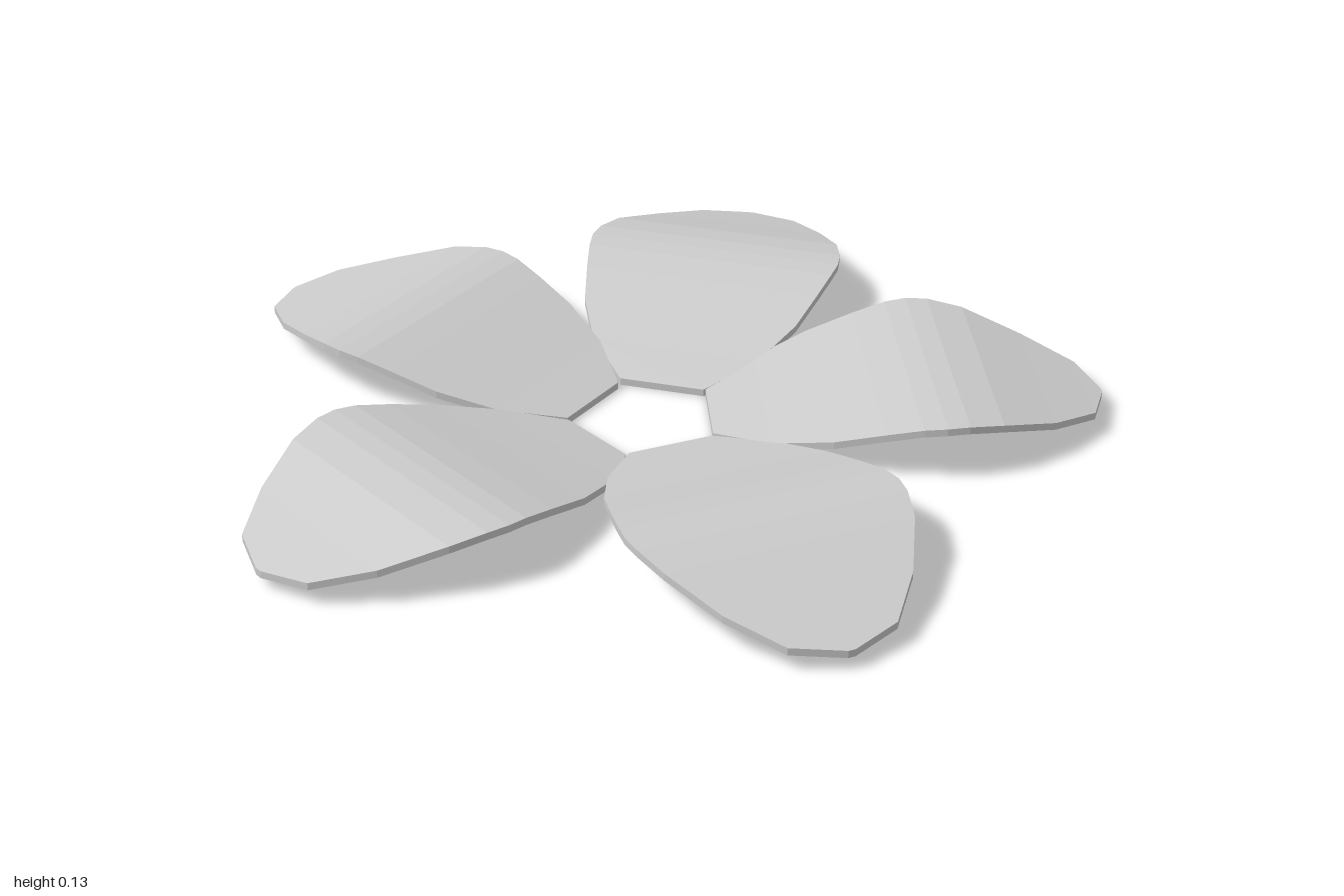
import * as THREE from 'three';

const THICKNESS = 0.017;

// Petal cross-sections: [distance from inner edge, half width, top height]
const SECTIONS = [
  [0, 0.1, 0.018], [0.12, 0.2, 0.046], [0.25, 0.26, 0.08], [0.36, 0.287, 0.11],
  [0.44, 0.304, 0.129], [0.49, 0.31, 0.134], [0.54, 0.304, 0.134], [0.62, 0.28, 0.122],
  [0.75, 0.21, 0.084], [0.86, 0.12, 0.055], [0.9, 0.008, 0.045],
];

// Inner edge midpoint x, z and heading in degrees from the front
const PETALS = [
  ['frontPetal', 0.01, 0.07, 0],
  ['leftPetal', 0.14, -0.035, 72],
  ['backLeftPetal', 0.085, -0.2, 143],
  ['backRightPetal', -0.08, -0.2, -146],
  ['rightPetal', -0.125, -0.03, -75],
];

// Thin curved plate lofted through the cross-sections
function petalGeometry() {
  const positions = [];
  const index = [];
  for (const [z, w, top] of SECTIONS) {
    const bottom = top - THICKNESS;
    positions.push(-w, top, z, w, top, z, w, bottom, z, -w, bottom, z);
  }
  const last = (SECTIONS.length - 1) * 4;
  for (let row = 0; row < last; row += 4) {
    for (let k = 0; k < 4; k++) {
      const a = row + k;
      const b = row + ((k + 1) % 4);
      index.push(a, a + 4, b + 4, a, b + 4, b);
    }
  }
  // end caps
  index.push(0, 1, 2, 0, 2, 3);
  index.push(last, last + 2, last + 1, last, last + 3, last + 2);

  const geometry = new THREE.BufferGeometry();
  geometry.setAttribute('position', new THREE.Float32BufferAttribute(positions, 3));
  geometry.setIndex(index);
  const flat = geometry.toNonIndexed();
  flat.computeVertexNormals();
  return flat;
}

export function createModel() {
  const flower = new THREE.Group();
  flower.name = 'flower';
  const material = new THREE.MeshStandardMaterial({ color: 0xcccccc, flatShading: true });
  const geometry = petalGeometry();

  // Five petals around an open centre
  for (const [name, x, z, degrees] of PETALS) {
    const petal = new THREE.Mesh(geometry, material);
    petal.name = name;
    petal.position.set(x, 0, z);
    petal.rotation.y = THREE.MathUtils.degToRad(degrees);
    flower.add(petal);
  }
  return flower;
}
